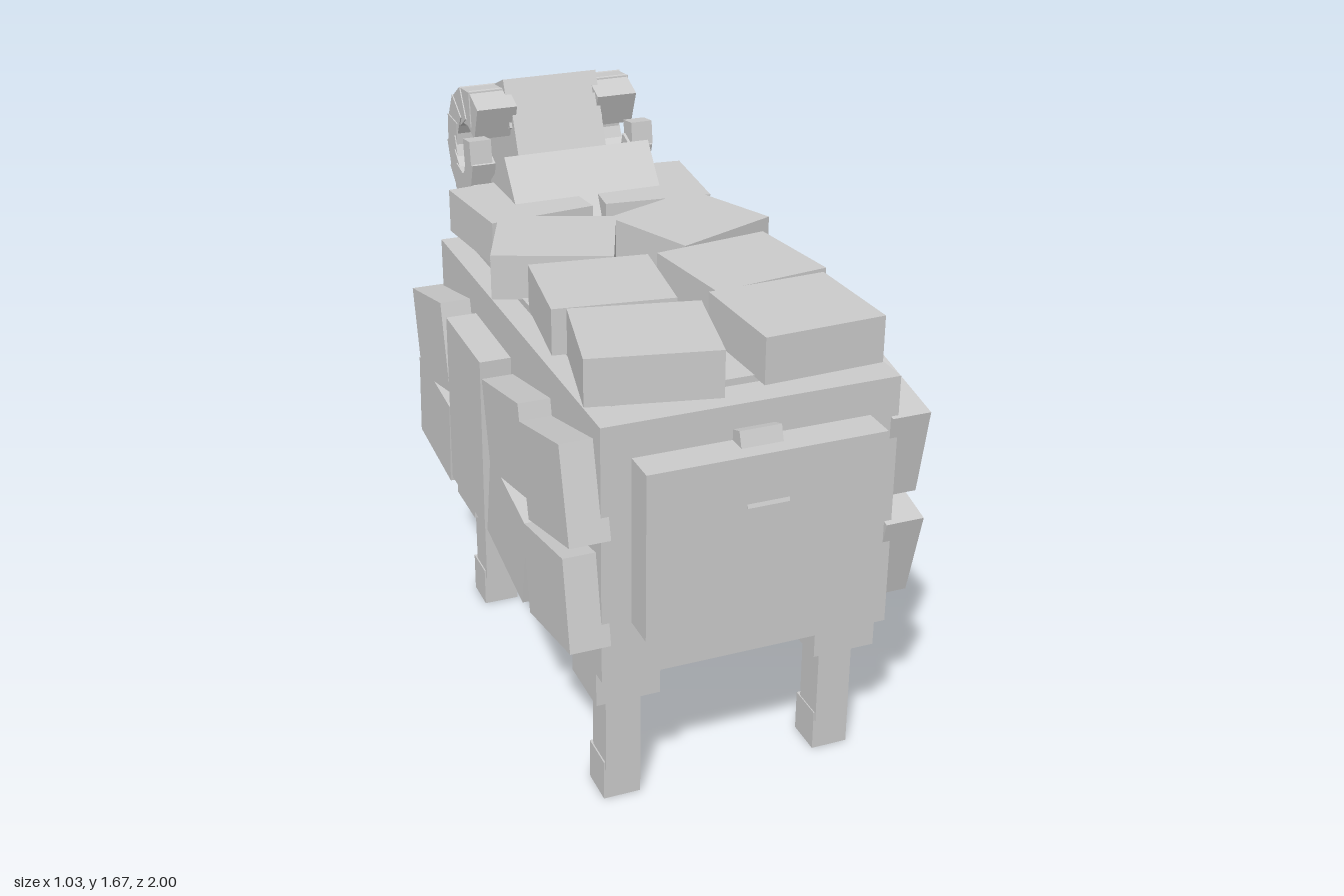
import * as THREE from 'three';

const material = new THREE.MeshStandardMaterial({ color: 0xcccccc, flatShading: true });

// Box from centre and size
function box(parent, name, [x, y, z], [w, h, d]) {
  const mesh = new THREE.Mesh(new THREE.BoxGeometry(w, h, d), material);
  mesh.name = name;
  mesh.position.set(x, y, z);
  parent.add(mesh);
  return mesh;
}

// Box from its limits on each axis
function span(parent, name, [x0, x1], [y0, y1], [z0, z1]) {
  return box(parent, name, [(x0 + x1) / 2, (y0 + y1) / 2, (z0 + z1) / 2],
    [Math.abs(x1 - x0), Math.abs(y1 - y0), Math.abs(z1 - z0)]);
}

function group(parent, name) {
  const g = new THREE.Group();
  g.name = name;
  parent.add(g);
  return g;
}

// Wool blocks on the back: x, z, width, depth, turn
const backWool = [
  [-0.209, 0.333, 0.347, 0.328, -0.137],
  [-0.22, 0.68, 0.365, 0.327, -0.217],
  [0.212, 0.333, 0.357, 0.327, 0.134],
  [0.22, 0.672, 0.355, 0.335, 0.045],
  [-0.212, -0.042, 0.352, 0.325, -0.385],
  [0.212, -0.042, 0.352, 0.325, 0.385],
  [-0.204, -0.386, 0.333, 0.333, 0.105],
  [0.204, -0.386, 0.333, 0.333, -0.105],
];

// Wool blocks on a flank: z, y, length, height, tilt
const flankWool = [
  [0.718, 1.012, 0.338, 0.268, 0.19],
  [0.378, 1.015, 0.328, 0.275, -0.2],
  [0.715, 0.699, 0.338, 0.275, 0.255],
  [0.38, 0.723, 0.335, 0.265, 0.215],
  [0.003, 0.852, 0.332, 0.54, -0.015],
  [-0.345, 0.999, 0.33, 0.267, -0.08],
  [-0.348, 0.728, 0.33, 0.275, 0.23],
];

function addHorn(parent, side) {
  const horn = group(parent, side > 0 ? 'leftHorn' : 'rightHorn');
  const count = 12;
  for (let i = 0; i < count; i++) {
    const t = i / (count - 1);
    const a = THREE.MathUtils.degToRad(112 - 300 * t);
    const thick = 0.115 - 0.045 * t;
    const r = 0.118 + 0.012 * Math.sin(Math.PI * t);
    const seg = box(horn, 'hornSegment',
      [side * (0.2 + 0.07 * t), 1.455 + r * Math.sin(a), -0.718 - r * Math.cos(a)],
      [0.13 - 0.06 * t, thick, 0.1 - 0.025 * t]);
    seg.rotation.x = a - Math.PI / 2;
  }
}

export function createModel() {
  const model = new THREE.Group();
  model.name = 'ram';

  // Body with slim panels above, below and at both ends
  span(model, 'body', [-0.425, 0.425], [0.47, 1.23], [-0.51, 0.897]);
  span(model, 'bellyPanel', [-0.355, 0.355], [0.46, 0.5], [-0.42, 0.79]);
  span(model, 'backPanel', [-0.355, 0.355], [1.2, 1.25], [-0.42, 0.79]);
  span(model, 'rumpPanel', [-0.34, 0.34], [0.64, 1.13], [0.85, 0.998]);
  span(model, 'chestPanel', [-0.34, 0.34], [0.62, 1.077], [-0.608, -0.45]);
  const tail = box(model, 'tail', [0, 1.066, 0.936], [0.12, 0.204, 0.07]);
  tail.rotation.x = -0.325;

  // Wool on the back
  const back = group(model, 'backWool');
  for (const [x, z, w, d, turn] of backWool) {
    box(back, 'woolBlock', [x, 1.3125, z], [w, 0.135, d]).rotation.y = turn;
  }

  // Wool on the flanks, the second being the first rolled half a turn
  for (const side of [1, -1]) {
    const flank = group(model, side > 0 ? 'leftWool' : 'rightWool');
    flank.position.y = 0.85;
    if (side < 0) flank.rotation.z = Math.PI;
    for (const [z, y, d, h, tilt] of flankWool) {
      box(flank, 'woolBlock', [0.46, y - 0.85, z], [0.115, h, d]).rotation.x = tilt;
    }
  }

  // Legs
  for (const side of [1, -1]) {
    for (const [name, pad, shank, foot] of [
      ['hindLeg', [0.655, 0.845], [0.697, 0.8], [0.68, 0.793]],
      ['foreLeg', [-0.458, -0.27], [-0.41, -0.308], [-0.432, -0.32]],
    ]) {
      const leg = group(model, name);
      span(leg, 'thigh', [side * 0.235, side * 0.422], [0.36, 0.52], pad);
      span(leg, 'shank', [side * 0.275, side * 0.378], [0.1, 0.38], shank);
      span(leg, 'foot', [side * 0.272, side * 0.382], [0, 0.125], foot);
    }
  }

  // Neck leaning forward out of the body
  box(model, 'neck', [0, 1.184, -0.461], [0.473, 0.45, 0.445]).rotation.x = -0.69;

  // Head, tipped down, pivoting on its upper back edge
  const head = group(model, 'head');
  head.position.set(0, 1.607, -0.635);
  head.rotation.x = -0.4;
  span(head, 'skull', [-0.147, 0.147], [-0.29, 0], [-0.389, 0]);
  span(head, 'forelock', [-0.155, 0.155], [-0.08, 0.073], [-0.188, -0.02]);
  span(head, 'nose', [-0.125, 0.125], [-0.35, -0.163], [-0.465, -0.335]);

  // Curled horns
  addHorn(model, 1);
  addHorn(model, -1);

  return model;
}
